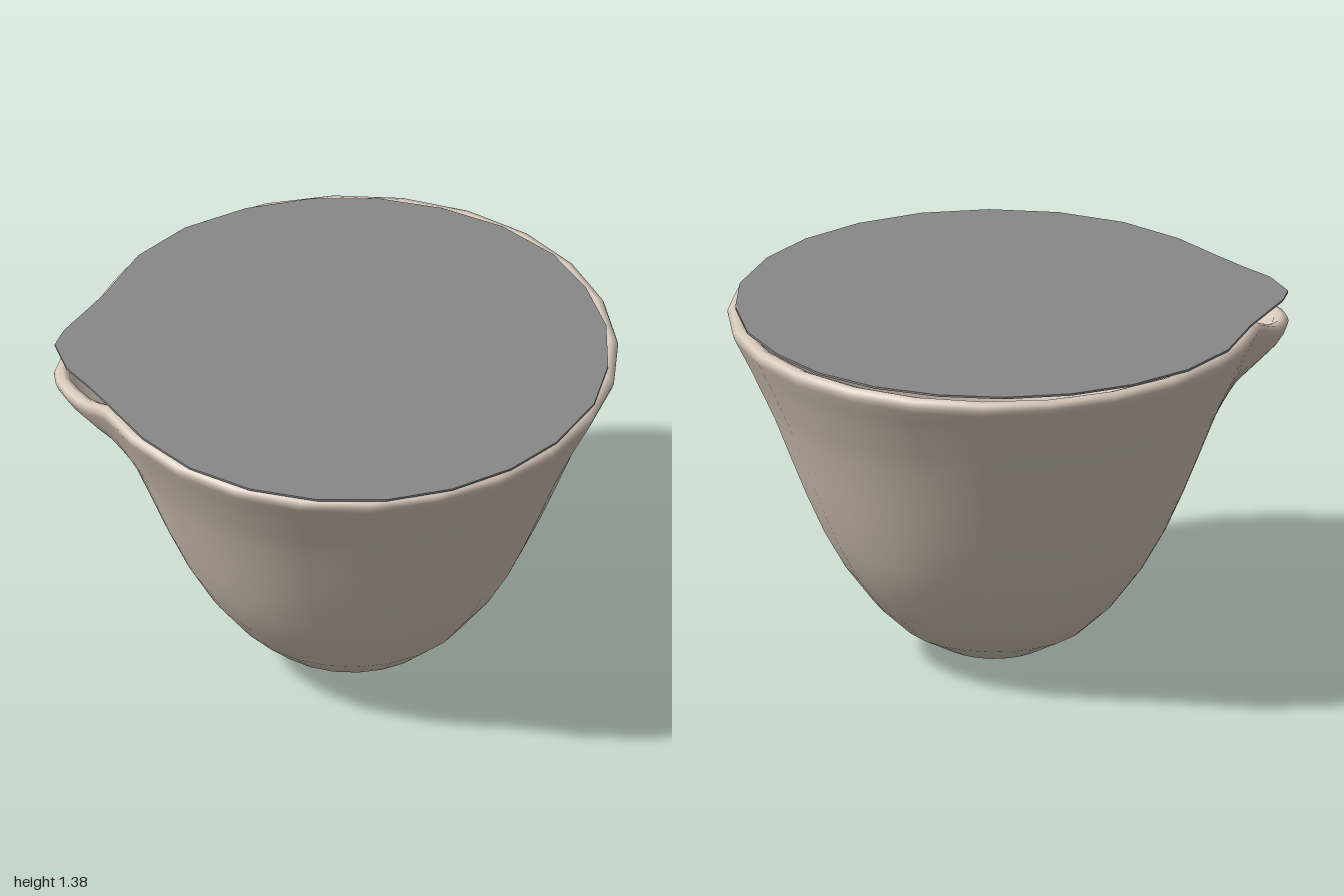
import * as THREE from 'three';
import { mergeVertices } from 'three/addons/utils/BufferGeometryUtils.js';

const clay = new THREE.MeshStandardMaterial({ color: 0xd8c9ba });
clay.name = 'warm clay';
const grey = new THREE.MeshStandardMaterial({ color: 0x888888 });
grey.name = 'lid grey';

const rad = THREE.MathUtils.degToRad;
const smooth = THREE.MathUtils.smoothstep;
const SPOUT = 140; // direction of the pouring spout, degrees from +x towards +z

// Wall profile (radius, height): up the outside, over the rim, down the inside
const profile = [
  [0, 0], [0.1, 0.012], [0.2, 0.045], [0.35, 0.13], [0.46, 0.235], [0.57, 0.385], [0.65, 0.53],
  [0.72, 0.69], [0.775, 0.83], [0.84, 1.0], [0.885, 1.1], [0.93, 1.2], [0.965, 1.27], [0.99, 1.32],
  [1.0, 1.345], [0.993, 1.365], [0.97, 1.375], [0.945, 1.365], [0.925, 1.32], [0.88, 1.2],
  [0.79, 1.0], [0.67, 0.69], [0.52, 0.42], [0.32, 0.19], [0, 0.07],
];

// 24 sides, subdivided further around the spout
function bowlAngles() {
  const angles = [];
  for (let i = 0; i < 24; i++) {
    const a = i * 15 + 2.3;
    const n = a > 100 && a < 175 ? 4 : 1;
    for (let k = 0; k < n; k++) angles.push(a + (k * 15) / n);
  }
  return angles;
}

function bowlGeometry() {
  const angles = bowlAngles();
  const n = angles.length;
  const positions = [], index = [];
  profile.forEach(([r, y], i) => {
    angles.forEach((a, j) => {
      // The spout pushes the wall outwards and dips the rim
      const d = a - SPOUT;
      const bulge = 0.115 * Math.exp(-((d / 11.3) ** 2)) * smooth(y, 0.95, 1.32);
      const dip = 0.085 * (1 - smooth(Math.abs(d + 2), 7, 22)) * smooth(y, 0.95, 1.34);
      const radius = r + bulge;
      positions.push(radius * Math.cos(rad(a)), y - dip, radius * Math.sin(rad(a)));
      if (i < profile.length - 1) {
        const p = i * n + j, q = i * n + ((j + 1) % n);
        if (i > 0) index.push(p, p + n, q);
        if (i < profile.length - 2) index.push(q, p + n, q + n);
        else index.push();
      }
    });
  });
  const geometry = new THREE.BufferGeometry();
  geometry.setAttribute('position', new THREE.Float32BufferAttribute(positions, 3));
  geometry.setIndex(index);
  const merged = mergeVertices(geometry, 1e-5);
  merged.computeVertexNormals();
  return merged;
}

// Lid outline (x, z), pointed over the spout
const lidOutline = [
  [0.985, 0], [0.96, 0.24], [0.87, 0.48], [0.72, 0.69], [0.52, 0.85], [0.28, 0.955], [0.02, 0.99],
  [-0.24, 0.95], [-0.47, 0.865], [-0.6, 0.82], [-0.74, 0.78], [-0.87, 0.69], [-0.9, 0.6],
  [-0.915, 0.45], [-0.93, 0.31], [-0.985, 0.05], [-0.96, -0.2], [-0.86, -0.44], [-0.71, -0.64],
  [-0.51, -0.8], [-0.29, -0.9], [-0.04, -0.95], [0.22, -0.93], [0.45, -0.84], [0.66, -0.7],
  [0.83, -0.5], [0.94, -0.28],
];

function lidGeometry() {
  const shape = new THREE.Shape(lidOutline.map(([x, z]) => new THREE.Vector2(x, -z)));
  const geometry = new THREE.ExtrudeGeometry(shape, { depth: 0.008, bevelEnabled: false });
  return geometry.rotateX(-Math.PI / 2).translate(0, 1.377, 0);
}

export function createModel() {
  const group = new THREE.Group();
  group.name = 'spoutedBowl';
  const bowl = new THREE.Mesh(bowlGeometry(), clay);
  bowl.name = 'bowl';
  const lid = new THREE.Mesh(lidGeometry(), grey);
  lid.name = 'lid';
  group.add(bowl, lid);
  return group;
}
